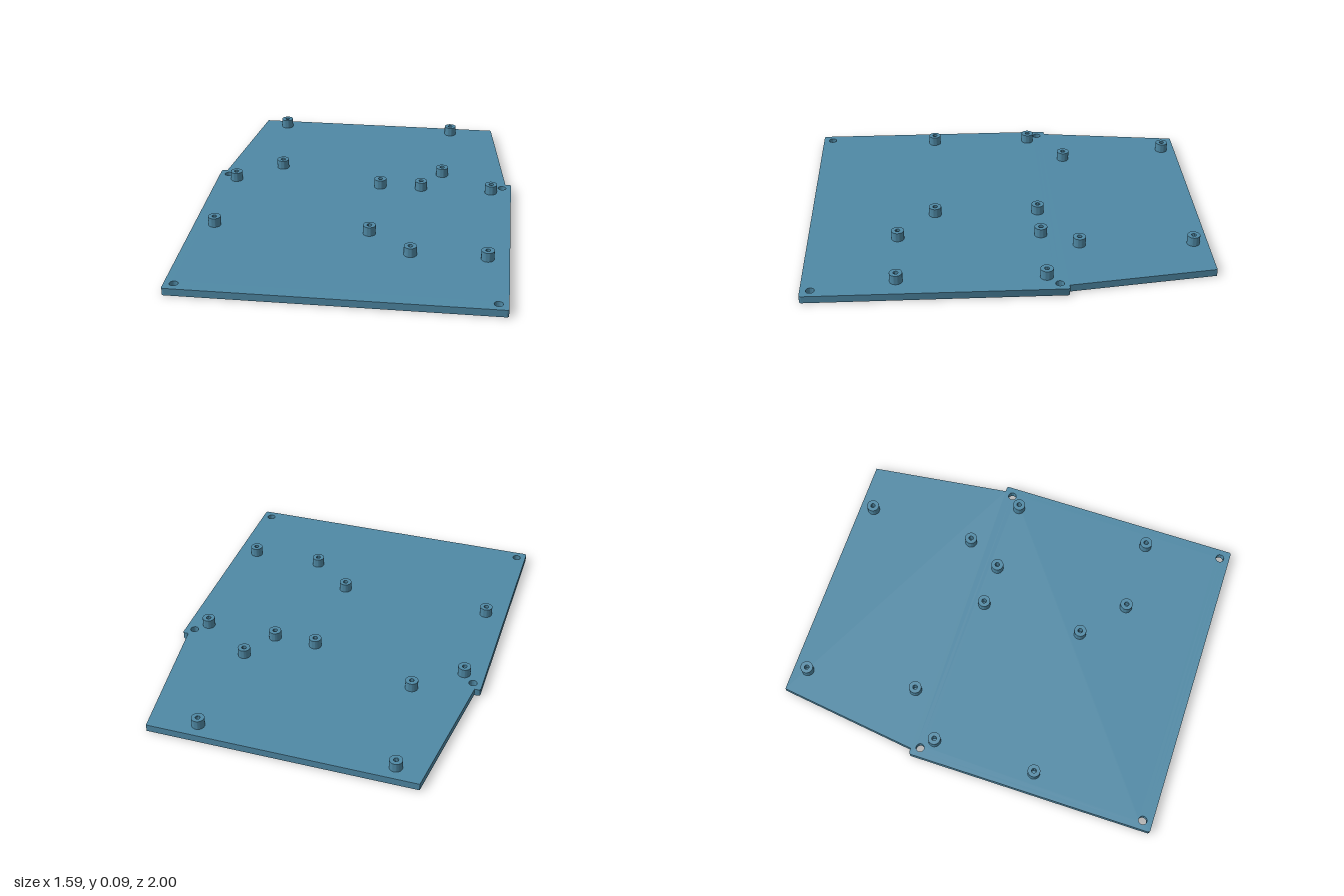
import * as THREE from 'three';
import { toCreasedNormals } from 'three/addons/utils/BufferGeometryUtils.js';

const PLATE_H = 0.037;
const POST_H = 0.048;

// Extrude a plan drawn in (x, -z) upwards along y
function extrudeUp(shape, height) {
  const g = new THREE.ExtrudeGeometry(shape, { depth: height, bevelEnabled: false, curveSegments: 16 });
  g.rotateX(-Math.PI / 2);
  return toCreasedNormals(g, Math.PI / 5);
}

function circle(x, z, r) {
  return new THREE.Path().absarc(x, -z, r, 0, Math.PI * 2, true);
}

export function createModel() {
  const model = new THREE.Group();
  const blue = new THREE.MeshStandardMaterial({ color: 0x4f89a5 });
  blue.name = 'steel blue';

  // Base plate: rounded rectangle in front, tapered section behind
  const w = 0.797, step = 0.275, r = 0.012;
  const plan = new THREE.Shape();
  plan.moveTo(-w + r, -1);
  plan.lineTo(w - r, -1);
  plan.absarc(w - r, -1 + r, r, -Math.PI / 2, 0, false);
  plan.lineTo(w, step - r);
  plan.absarc(w - r, step - r, r, 0, Math.PI / 2, false);
  plan.lineTo(0.767, step);
  plan.lineTo(0.673, 1);
  plan.lineTo(-0.673, 1);
  plan.lineTo(-0.767, step);
  plan.lineTo(-w + r, step);
  plan.absarc(-w + r, step - r, r, Math.PI / 2, Math.PI, false);
  plan.lineTo(-w, -1 + r);
  plan.absarc(-w + r, -1 + r, r, Math.PI, Math.PI * 1.5, false);

  // Mounting holes through the corners
  for (const x of [-0.749, 0.749]) {
    for (const z of [-0.23, 0.95]) plan.holes.push(circle(x, z, 0.021));
  }
  const plate = new THREE.Mesh(extrudeUp(plan, PLATE_H), blue);
  plate.name = 'basePlate';
  model.add(plate);

  // Hollow standoffs, grouped by the board they carry
  const ring = new THREE.Shape();
  ring.absarc(0, 0, 0.032, 0, Math.PI * 2, false);
  ring.holes.push(circle(0, 0, 0.012));
  const postGeometry = extrudeUp(ring, POST_H);
  const boards = {
    rearStandoffs: [[-0.541, -0.926], [0.434, -0.926], [-0.466, -0.356], [0.419, -0.356]],
    rightStandoffs: [[-0.691, -0.172], [0.097, -0.172], [-0.691, 0.36], [0.097, 0.36]],
    leftStandoffs: [[0.317, -0.172], [0.69, -0.172], [0.317, 0.548], [0.69, 0.548]],
  };
  for (const [name, spots] of Object.entries(boards)) {
    const group = new THREE.Group();
    group.name = name;
    for (const [x, z] of spots) {
      const post = new THREE.Mesh(postGeometry, blue);
      post.name = 'standoff';
      post.position.set(x, PLATE_H, z);
      group.add(post);
    }
    model.add(group);
  }
  return model;
}
